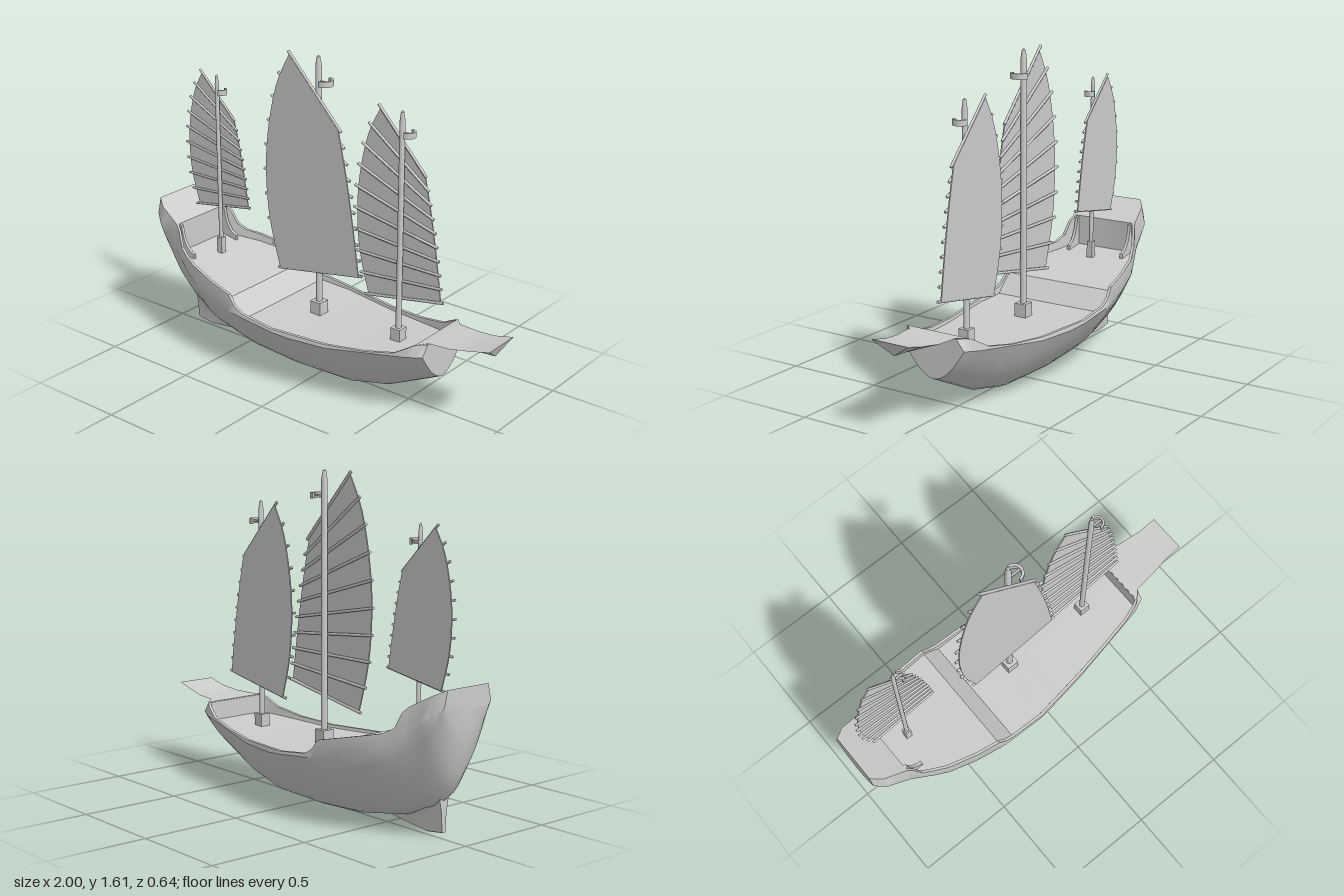
import * as THREE from 'three';
import { toCreasedNormals } from 'three/addons/utils/BufferGeometryUtils.js';

const material = new THREE.MeshStandardMaterial({ color: 0xcccccc });
const V = (x, y, z) => new THREE.Vector3(x, y, z);

function add(parent, name, geometry, x = 0, y = 0, z = 0) {
  const mesh = new THREE.Mesh(geometry, material);
  mesh.name = name;
  mesh.position.set(x, y, z);
  parent.add(mesh);
  return mesh;
}

// Skin closed rings (keel, up the +z side, over the top, down the -z side), stern to bow, with end caps
function loft(rings) {
  const pos = [];
  const tri = (...pts) => pts.forEach((p) => pos.push(p.x, p.y, p.z));
  const n = rings[0].length;
  const middle = (r) => r.reduce((s, p) => s.add(p), V(0, 0, 0)).divideScalar(n);
  const first = rings[0], last = rings[rings.length - 1];
  const m0 = middle(first), m1 = middle(last);
  for (let j = 0; j < n; j++) {
    const k = (j + 1) % n;
    for (let i = 0; i < rings.length - 1; i++) {
      const [a, b, c, d] = [rings[i][j], rings[i + 1][j], rings[i + 1][k], rings[i][k]];
      tri(a, b, c);
      tri(a, c, d);
    }
    tri(m0, first[j], first[k]);
    tri(m1, last[k], last[j]);
  }
  const g = new THREE.BufferGeometry();
  g.setAttribute('position', new THREE.Float32BufferAttribute(pos, 3));
  return toCreasedNormals(g, 0.6);
}

// Hull lines along x, each a short list of [x, value]
const keelLine = [[-1, 0.53], [-0.985, 0.44], [-0.95, 0.31], [-0.9, 0.21], [-0.83, 0.145], [-0.65, 0.067],
  [-0.37, 0.015], [-0.1, 0], [0.2, 0.004], [0.4, 0.05], [0.69, 0.19]];
const widthLine = [[-1, 0.145], [-0.95, 0.18], [-0.83, 0.2], [-0.72, 0.24], [-0.65, 0.27], [-0.5, 0.302],
  [-0.33, 0.32], [-0.1, 0.32], [0.2, 0.275], [0.62, 0.2], [0.69, 0.17]];
const rimLine = [[-1, 0.71], [-0.83, 0.62], [-0.8, 0.59], [-0.77, 0.52], [-0.72, 0.49], [-0.37, 0.41],
  [-0.33, 0.36], [-0.28, 0.332], [-0.1, 0.31], [0.2, 0.302], [0.4, 0.317], [0.55, 0.345], [0.645, 0.4], [0.69, 0.402]];
const bulgeLine = [[-1, 0.63], [-0.83, 0.5], [-0.72, 0.42], [-0.37, 0.325], [0, 0.285], [0.2, 0.285], [0.69, 0.35]];
const insetLine = [[-1, 0.02], [-0.83, 0.015], [-0.77, 0.005], [0.55, 0.002], [0.645, 0.011], [0.69, 0.04]];
const deckLine = [[-0.829, 0.465], [-0.37, 0.39], [-0.28, 0.3], [0.2, 0.287], [0.645, 0.308], [0.646, 0.4]];

function at(line, x) {
  const i = Math.max(1, line.findIndex((p) => p[0] >= x));
  const [x0, v0] = line[i - 1], [x1, v1] = line[i];
  return v0 + (v1 - v0) * (x - x0) / (x1 - x0);
}

// Rounded bottom, bulwark with thin rim, then the deck; the stern roof and bow are solid up to the rim
function hullRing(x) {
  const keel = at(keelLine, x), w = at(widthLine, x), bulge = at(bulgeLine, x), rim = at(rimLine, x);
  const rimW = w - at(insetLine, x);
  const deck = x > -0.83 && x < 0.646 ? at(deckLine, x) : rim;
  const half = [];
  for (let s = 0.125; s <= 1; s += 0.125) half.push(V(x, keel + (bulge - keel) * Math.pow(s, 1.8), w * s));
  half.push(V(x, rim, rimW), V(x, rim, rimW - 0.015), V(x, deck, rimW - 0.018));
  const mirrored = half.map((p) => V(p.x, p.y, -p.z)).reverse();
  return [V(x, keel, 0), ...half, V(x, deck, 0), ...mirrored];
}

// Sail edges in unit height, from the foot to the top yard
const spline = (pts) => new THREE.SplineCurve(pts.map(([x, y]) => new THREE.Vector2(x, y)));
const backEdge = spline([[0, 0], [-0.058, 0.222], [-0.076, 0.45], [-0.058, 0.657], [-0.009, 0.859], [0.063, 1]]);
const foreEdge = spline([[0.439, 0.077], [0.404, 0.319], [0.366, 0.536], [0.326, 0.719]]);

function sail(group, { x, y, width, height, side, r }) {
  const place = (p) => new THREE.Vector2(x + p.x * width, y + p.y * height);
  const outline = [...backEdge.getSpacedPoints(18), ...foreEdge.getSpacedPoints(18).reverse()].map(place);
  const cloth = new THREE.ExtrudeGeometry(new THREE.Shape(outline), { depth: 0.006, bevelEnabled: false });
  add(group, 'sailCloth', cloth, 0, 0, side * 0.02 - 0.003);
  for (let i = 0; i < 10; i++) {
    const a = place(backEdge.getPointAt(i / 9)), b = place(foreEdge.getPointAt(i / 9));
    const d = b.clone().sub(a);
    const rod = new THREE.CylinderGeometry(r, r, d.length() + 0.035, 6);
    const batten = add(group, 'batten', rod, (a.x + b.x) / 2, (a.y + b.y) / 2, side * 0.014);
    batten.rotation.z = Math.atan2(d.y, d.x) - Math.PI / 2;
  }
}

// Square step, pole with pointed tip, and a half-ring fitting near the head
function mast(group, { x, foot, top, r, step, ringY, ringR }) {
  add(group, 'mastStep', new THREE.BoxGeometry(step, 0.085, step), x, foot + 0.022, 0);
  const profile = [[0, foot], [r, foot], [r * 0.95, top - 0.05], [r * 0.55, top - 0.008], [0, top]];
  const pole = new THREE.LatheGeometry(profile.map((p) => new THREE.Vector2(...p)), 12);
  add(group, 'mastPole', toCreasedNormals(pole, 0.5), x, 0, 0);

  const band = new THREE.Shape();
  band.absarc(0, 0, ringR, -Math.PI / 2, Math.PI / 2, false);
  band.absarc(0, 0, ringR * 0.72, Math.PI / 2, -Math.PI / 2, true);
  const ring = new THREE.ExtrudeGeometry(band, { depth: 0.028, bevelEnabled: false, curveSegments: 10 });
  ring.rotateX(-Math.PI / 2);
  const cx = x + r + 0.018;
  add(group, 'mastRing', toCreasedNormals(ring, 0.6), cx, ringY - 0.014, 0);
  const reach = cx - x + ringR * 0.8;
  add(group, 'ringArm', new THREE.BoxGeometry(reach, 0.01, 0.01), x + reach / 2, ringY, 0);
}

export function createModel() {
  const model = new THREE.Group();
  model.name = 'sailingShip';

  // One hull section at every x used by the hull lines
  const lines = [keelLine, widthLine, rimLine, bulgeLine, insetLine, deckLine];
  const xs = [...new Set(lines.flatMap((line) => line.map((p) => p[0])))].sort((a, b) => a - b);
  add(model, 'hull', loft(xs.map(hullRing)));

  // Bow platform with a V-shaped underside: x, top y, half width, keel x, keel y
  const platform = [
    [0.65, 0.403, 0.175, 0.65, 0.34], [0.69, 0.407, 0.13, 0.69, 0.362], [0.8, 0.408, 0.118, 0.8, 0.37],
    [0.9, 0.422, 0.103, 0.89, 0.374], [1, 0.447, 0.1, 0.97, 0.38],
  ];
  add(model, 'bowPlatform', loft(platform.map(([x, y, w, kx, ky]) => [V(kx, ky, 0), V(x, y, w), V(x, y, -w)])));

  // Rudder fin, widening upward into the hull: x, bottom y, top y, top half width
  const fin = [
    [-0.865, 0.028, 0.2, 0.03], [-0.77, 0.015, 0.17, 0.05], [-0.68, 0.025, 0.13, 0.05], [-0.54, 0.043, 0.07, 0.02],
  ];
  add(model, 'rudder', loft(fin.map(([x, b, t, w]) => {
    const mid = b + (t - b) * 0.55;
    return [V(x, b, 0), V(x, b + 0.004, 0.01), V(x, mid, 0.016), V(x, t, w),
      V(x, t, -w), V(x, mid, -0.016), V(x, b + 0.004, -0.01)];
  })));

  // Curved brackets bracing the stern cabin wall
  const brace = new THREE.Shape();
  brace.moveTo(-0.835, 0.44);
  brace.lineTo(-0.735, 0.44);
  brace.lineTo(-0.735, 0.475);
  brace.quadraticCurveTo(-0.8, 0.49, -0.815, 0.61);
  brace.lineTo(-0.835, 0.615);
  for (const side of [-1, 1]) {
    const g = new THREE.ExtrudeGeometry(brace, { depth: 0.016, bevelEnabled: false, curveSegments: 6 });
    add(model, side > 0 ? 'rearBracketFrontSide' : 'rearBracketBackSide', g, 0, 0, side * 0.16 - 0.008);
  }

  // Three masts, each with its battened sail
  const rigs = {
    sternRig: {
      pole: { x: -0.698, foot: 0.465, top: 1.395, r: 0.011, step: 0.032, ringY: 1.31, ringR: 0.028 },
      cloth: { x: -0.858, y: 0.671, width: 0.763, height: 0.711, side: -1, r: 0.006 },
    },
    mainRig: {
      pole: { x: -0.052, foot: 0.295, top: 1.605, r: 0.016, step: 0.062, ringY: 1.48, ringR: 0.045 },
      cloth: { x: -0.281, y: 0.479, width: 1.107, height: 1.107, side: 1, r: 0.0075 },
    },
    bowRig: {
      pole: { x: 0.43, foot: 0.295, top: 1.435, r: 0.014, step: 0.054, ringY: 1.33, ringR: 0.037 },
      cloth: { x: 0.238, y: 0.473, width: 0.945, height: 0.947, side: -1, r: 0.007 },
    },
  };
  for (const [name, { pole, cloth }] of Object.entries(rigs)) {
    const group = new THREE.Group();
    group.name = name;
    mast(group, pole);
    sail(group, cloth);
    model.add(group);
  }
  return model;
}
